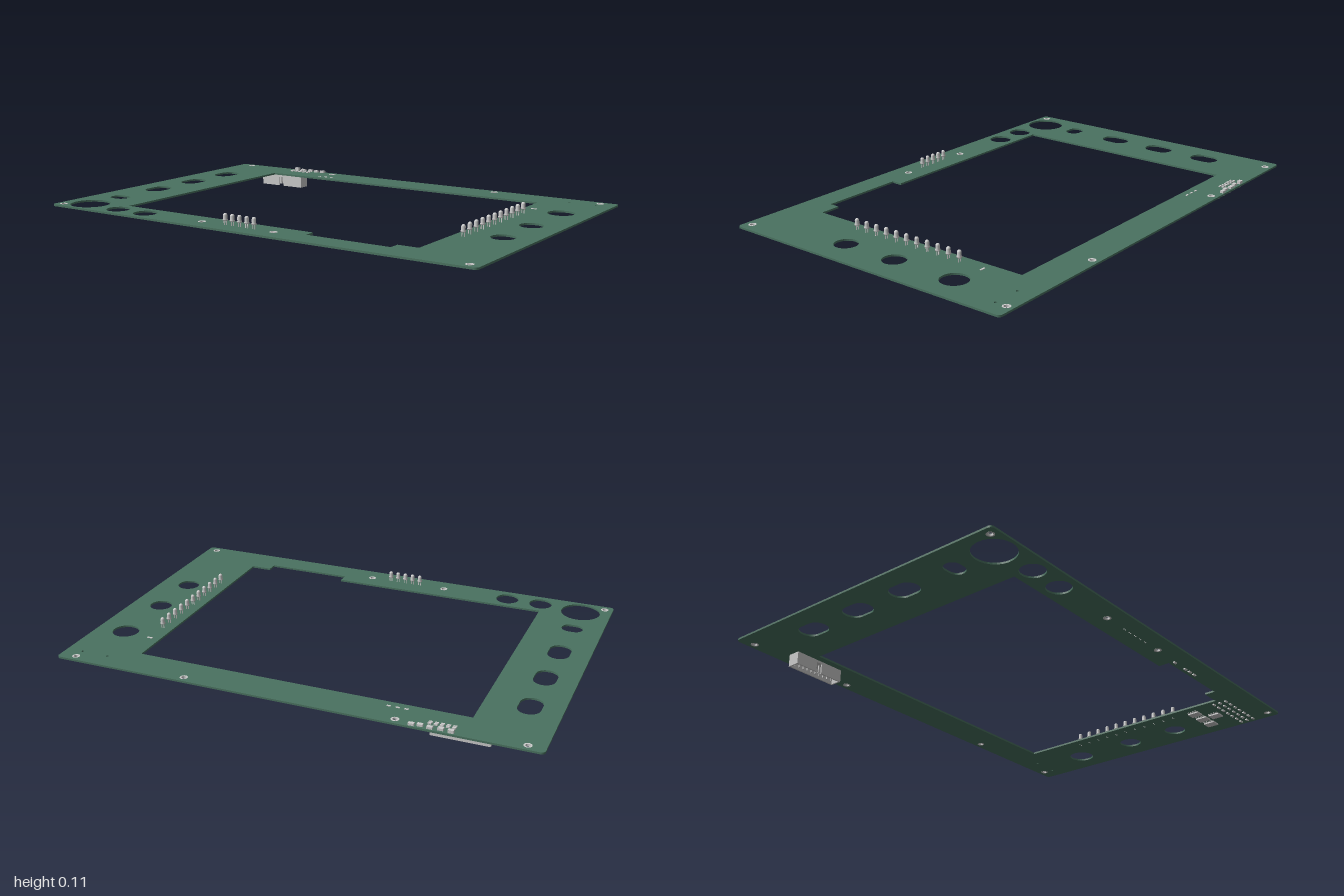
import * as THREE from 'three';

const BOTTOM = 0.059, TOP = 0.067;
const grey = new THREE.MeshStandardMaterial({ color: 0xcccccc });
const green = new THREE.MeshStandardMaterial({ color: 0x4a7260 });

function add(parent, name, geometry, x, y, z, material = grey) {
  const mesh = new THREE.Mesh(geometry, material);
  mesh.name = name;
  mesh.position.set(x, y, z);
  parent.add(mesh);
  return mesh;
}

function box(parent, name, w, h, d, x, y, z) {
  return add(parent, name, new THREE.BoxGeometry(w, h, d), x, y, z);
}

// Outlines are drawn with shape y = -z
function roundedRect(path, x, z, w, d, r) {
  const l = x - w / 2, t = x + w / 2, b = -z - d / 2, f = -z + d / 2;
  path.moveTo(l + r, b);
  path.lineTo(t - r, b);
  path.absarc(t - r, b + r, r, -Math.PI / 2, 0);
  path.lineTo(t, f - r);
  path.absarc(t - r, f - r, r, 0, Math.PI / 2);
  path.lineTo(l + r, f);
  path.absarc(l + r, f - r, r, Math.PI / 2, Math.PI);
  path.lineTo(l, b + r);
  path.absarc(l + r, b + r, r, Math.PI, Math.PI * 1.5);
  return path;
}

const circle = (x, z, r) => new THREE.Path().absarc(x, -z, r, 0, Math.PI * 2);

function flat(shape, height) {
  const g = new THREE.ExtrudeGeometry(shape, { depth: height, bevelEnabled: false, curveSegments: 16 });
  return g.rotateX(-Math.PI / 2);
}

const mounts = [[-0.933, -0.63], [-0.44, -0.63], [0.433, -0.63], [0.928, -0.63],
  [-0.965, 0.626], [0.955, 0.626], [-0.237, 0.586], [0.112, 0.586]];

function circuitBoard() {
  const group = new THREE.Group();
  group.name = 'circuitBoard';
  const shape = roundedRect(new THREE.Shape(), 0, 0, 2, 1.32, 0.016);

  // Display window with a stepped front edge
  const window = [[-0.7, -0.513], [0.695, -0.513], [0.695, 0.51], [0.607, 0.51],
    [0.607, 0.556], [0.24, 0.556], [0.24, 0.51], [-0.7, 0.51]];
  shape.holes.push(new THREE.Path(window.map(([x, z]) => new THREE.Vector2(x, -z))));

  // Button slots and round control openings
  for (const z of [-0.35, -0.105, 0.138]) {
    shape.holes.push(roundedRect(new THREE.Path(), -0.873, z, 0.09, 0.13, 0.044));
  }
  shape.holes.push(roundedRect(new THREE.Path(), -0.873, 0.383, 0.09, 0.07, 0.034));
  const rounds = [[-0.871, 0.563, 0.084], [-0.688, 0.585, 0.05], [-0.537, 0.585, 0.05],
    [0.869, -0.35, 0.056], [0.869, -0.06, 0.048], [0.869, 0.19, 0.048],
    [0.81, -0.583, 0.006], [0.928, -0.583, 0.006]];
  for (const [x, z, r] of rounds) shape.holes.push(circle(x, z, r));
  for (const [x, z] of mounts) shape.holes.push(circle(x, z, 0.01));
  add(group, 'boardPlate', flat(shape, TOP - BOTTOM), 0, BOTTOM, 0, green);

  // Plated rings around the mounting holes
  const ring = new THREE.Shape().absarc(0, 0, 0.016, 0, Math.PI * 2);
  ring.holes.push(circle(0, 0, 0.0099));
  const ringGeometry = flat(ring, TOP - BOTTOM + 0.001);
  for (const [x, z] of mounts) add(group, 'mountingRing', ringGeometry, x, BOTTOM - 0.0005, z);
  return group;
}

// Lamp: domed body with a wider foot, standing on two leads
const lampProfile = [[0, 0.085], [0.0105, 0.085], [0.0105, 0.09], [0.0085, 0.091], [0.0085, 0.106],
  [0.0075, 0.11], [0.005, 0.113], [0, 0.1145]].map(([r, y]) => new THREE.Vector2(r, y));
const lampGeometry = new THREE.LatheGeometry(lampProfile, 16);
const leadGeometry = new THREE.BoxGeometry(0.003, 0.03, 0.003);

function lamp(x, z) {
  const group = new THREE.Group();
  group.name = 'indicatorLamp';
  add(group, 'lampBody', lampGeometry, 0, 0, 0);
  for (const s of [-1, 1]) add(group, 'lampLead', leadGeometry, s * 0.005, 0.071, 0);
  group.position.set(x, 0, z);
  return group;
}

// Shrouded header hanging below the board, open downward, keyed on its front wall
function connector() {
  const group = new THREE.Group();
  group.name = 'headerConnector';
  const x0 = -0.79, x1 = -0.56, cx = (x0 + x1) / 2, w = x1 - x0, cz = -0.561, d = 0.052, t = 0.006;
  const h = 0.052, cy = 0.003 + h / 2;
  box(group, 'shroudBase', w, 0.01, d, cx, 0.05, cz);
  box(group, 'shroudBackWall', w, h, t, cx, cy, cz - d / 2 + t / 2);
  for (const x of [x0 + t / 2, x1 - t / 2]) box(group, 'shroudEndWall', t, h, d, x, cy, cz);
  for (const [a, b] of [[x0, -0.69], [-0.664, x1]]) {
    box(group, 'shroudFrontWall', b - a, h, t, (a + b) / 2, cy, cz + d / 2 - t / 2);
  }
  for (let i = 0; i < 10; i++) {
    for (const s of [-1, 1]) {
      box(group, 'connectorPin', 0.005, 0.055, 0.005, cx + (i - 4.5) * 0.021, 0.0375, cz + s * 0.01);
    }
  }
  return group;
}

// Surface-mounted chip with metal end caps; side is +1 on top, -1 underneath
function chip(parent, x, z, w, d, h, side) {
  const y = side > 0 ? TOP + h / 2 : BOTTOM - h / 2;
  box(parent, 'chipBody', w * 0.7, h, d, x, y, z);
  for (const s of [-1, 1]) box(parent, 'chipEnd', w * 0.2, h * 1.1, d * 1.02, x + s * w * 0.4, y, z);
}

function smallParts() {
  const group = new THREE.Group();
  group.name = 'surfaceComponents';

  // Rear edge cluster on top
  [-0.658, -0.618, -0.578, -0.54, -0.508].forEach((x, i) => {
    chip(group, x, i % 2 ? -0.642 : -0.647, 0.022, 0.015, i ? 0.009 : 0.012, 1);
  });
  for (let i = 0; i < 5; i++) {
    chip(group, -0.66 + i * 0.023, -0.617, 0.014, 0.008, 0.006, 1);
    chip(group, -0.66 + i * 0.023, -0.602, 0.014, 0.007, 0.004, 1);
  }
  for (const x of [-0.455, -0.42, -0.385]) chip(group, x, -0.546, 0.016, 0.007, 0.002, 1);
  chip(group, 0.741, -0.37, 0.024, 0.008, 0.002, 1);

  // Front left cluster underneath: integrated circuits with legs, then rows of chips
  for (const [x, z] of [[0.76, 0.365], [0.83, 0.365], [0.9, 0.365], [0.83, 0.43]]) {
    box(group, 'circuitPackage', 0.042, 0.007, 0.05, x, BOTTOM - 0.0045, z);
    for (let i = 0; i < 4; i++) {
      box(group, 'circuitLegs', 0.06, 0.003, 0.005, x, BOTTOM - 0.0015, z + (i - 1.5) * 0.0125);
    }
  }
  for (let i = 0; i < 7; i++) {
    for (const z of [0.485, 0.515, 0.545]) chip(group, 0.725 + i * 0.04, z, 0.018, 0.009, 0.005, -1);
  }
  for (const x of [0.25, 0.33, 0.365, 0.4]) chip(group, x, 0.58, 0.018, 0.009, 0.005, -1);
  return group;
}

export function createModel() {
  const model = new THREE.Group();
  model.name = 'frontPanelBoard';
  model.add(circuitBoard(), connector(), smallParts());
  for (let i = 0; i < 11; i++) model.add(lamp(0.741, (i - 5) * 0.0523));
  for (let i = 0; i < 5; i++) model.add(lamp(-0.05 + (i - 2) * 0.035, 0.586));
  // Set the lowest point on the ground
  const low = new THREE.Box3().setFromObject(model).min.y;
  for (const part of model.children) part.position.y -= low;
  return model;
}
